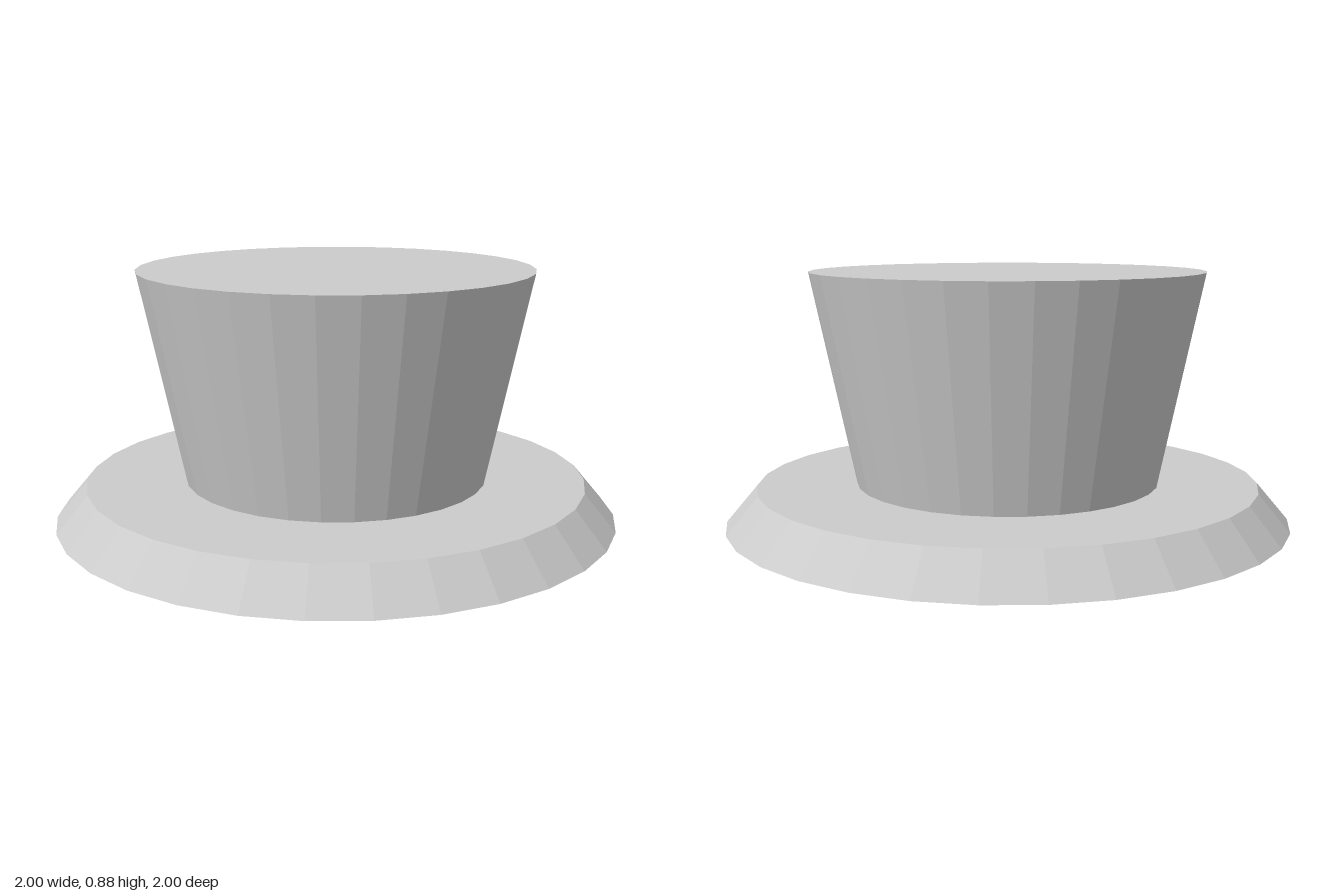
import * as THREE from 'three';

const SIDES = 32;

// Faceted solid of revolution; profile runs counter-clockwise as [radius, y]
function turned(name, profile) {
  const points = profile.map(([r, y]) => new THREE.Vector2(r, y));
  const material = new THREE.MeshStandardMaterial({ color: 0xcccccc, flatShading: true });
  const mesh = new THREE.Mesh(new THREE.LatheGeometry(points, SIDES), material);
  mesh.name = name;
  return mesh;
}

export function createModel() {
  const hat = new THREE.Group();
  hat.name = 'topHat';

  // Bevelled brim with a shallow round recess underneath
  hat.add(turned('brim', [
    [0, 0.085], [0.735, 0.085], [0.735, 0], [1, 0], [0.89, 0.13], [0, 0.13],
  ]));

  // Crown flaring out towards its flat top
  hat.add(turned('crown', [[0.54, 0.13], [0.695, 0.88], [0, 0.88]]));

  return hat;
}
